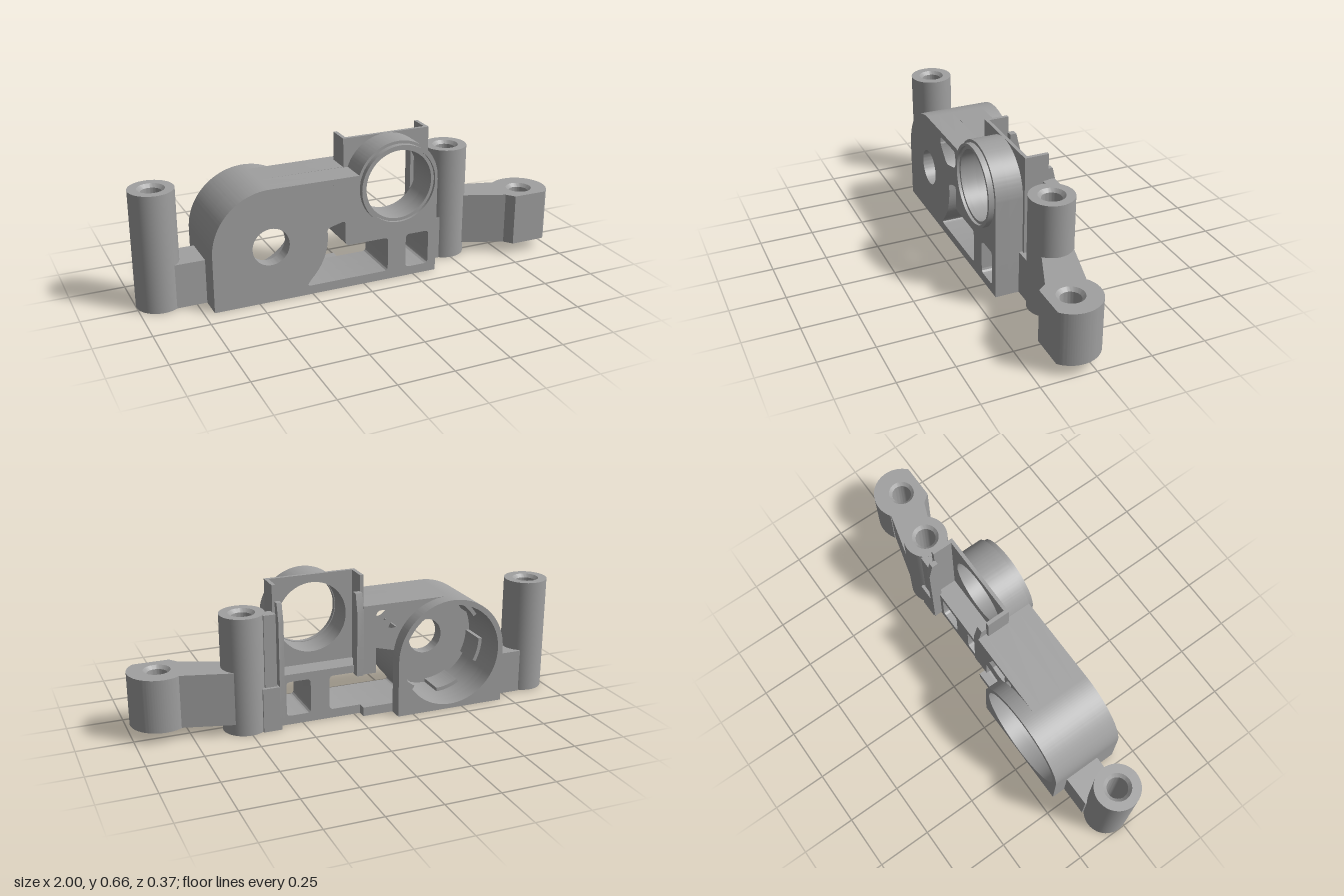
import * as THREE from 'three';
import { toCreasedNormals } from 'three/addons/utils/BufferGeometryUtils.js';

const BORE = [-0.44, 0.262], ARCH = 0.265; // large bore and its arched housing
const RING = [0.165, 0.46], COLLAR = 0.2;  // ring collar

export function createModel() {
  const model = new THREE.Group();
  model.name = 'mountingBracket';
  const grey = new THREE.MeshStandardMaterial({ color: 0xa0a0a0 });
  grey.name = 'metalGrey';

  const add = (name, geo) => {
    const mesh = new THREE.Mesh(toCreasedNormals(geo, 0.5), grey);
    mesh.name = name;
    model.add(mesh);
    return mesh;
  };
  const box = (name, x0, x1, y0, y1, z0, z1) =>
    add(name, new THREE.BoxGeometry(x1 - x0, y1 - y0, z1 - z0))
      .position.set((x0 + x1) / 2, (y0 + y1) / 2, (z0 + z1) / 2);
  const slab = (name, shape, z0, z1, holes = []) => {
    shape.holes = holes;
    const geo = new THREE.ExtrudeGeometry(shape, { depth: z1 - z0, bevelEnabled: false, curveSegments: 40 });
    return add(name, geo.translate(0, 0, z0));
  };
  const poly = (pts) => new THREE.Shape(pts.map((p) => new THREE.Vector2(...p)));
  const circle = ([x, y], r) => new THREE.Path().absarc(x, y, r, 0, Math.PI * 2, false);

  // Polygon with rounded corners, for the windows
  const rounded = (pts, r) => {
    const path = new THREE.Path();
    pts.forEach((p, i) => {
      const c = new THREE.Vector2(...p);
      const a = new THREE.Vector2(...pts[(i + pts.length - 1) % pts.length]);
      const b = new THREE.Vector2(...pts[(i + 1) % pts.length]);
      const toward = (q) => c.clone().lerp(q, Math.min(0.45, r / c.distanceTo(q)));
      const s = toward(a), e = toward(b);
      if (i) path.lineTo(s.x, s.y); else path.moveTo(s.x, s.y);
      path.quadraticCurveTo(c.x, c.y, e.x, e.y);
    });
    path.closePath();
    return path;
  };

  // Window outlines; the large window follows the bore housing
  const arc = [];
  for (let i = 0; i <= 8; i++) {
    const a = 0.15 - (0.98 * i) / 8;
    arc.push([BORE[0] + ARCH * Math.cos(a), BORE[1] + ARCH * Math.sin(a)]);
  }
  const largeTop = [[-0.09, 0.205], [-0.09, 0.325], ...arc, [-0.275, 0.042]];
  const windows = () => [
    rounded([[0.12, 0.042], [0.12, 0.205], ...largeTop], 0.02),
    rounded([[0.21, 0.042], [0.325, 0.042], [0.325, 0.205], [0.21, 0.205]], 0.02),
  ];
  const upperWindow = () => rounded(
    [[-0.275, 0.5], [-0.09, 0.5], [-0.09, 0.42], [-0.2, 0.39], [-0.275, 0.46]], 0.025);

  // Each outline starts with the arched left end
  const archStart = () => {
    const s = new THREE.Shape();
    s.moveTo(-0.705, 0);
    s.lineTo(-0.705, BORE[1]);
    s.absarc(...BORE, ARCH, Math.PI, Math.PI / 2, true);
    return s;
  };
  const finish = (s, pts) => {
    pts.forEach((p) => s.lineTo(...p));
    s.closePath();
    return s;
  };
  const fullOutline = () => {
    const s = archStart();
    s.absarc(...RING, COLLAR, 2.807, 0, true);
    return finish(s, [[0.365, 0]]);
  };

  // Body in layers from front to back
  slab('frontWall', fullOutline(), 0.1, 0.16,
    [circle(BORE, 0.085), circle(RING, 0.163), upperWindow(), ...windows()]);
  slab('frontBody', fullOutline(), 0.03, 0.1,
    [circle(BORE, 0.24), circle(RING, 0.163), upperWindow(), ...windows()]);
  slab('middleBody', finish(archStart(),
    [[-0.03, 0.527], [-0.03, 0.24], [0.365, 0.24], [0.365, 0]]), -0.08, 0.03,
    [circle(BORE, 0.24), upperWindow(), ...windows()]);
  slab('rearBody', finish(archStart(),
    [[-0.03, 0.527], [-0.03, 0.205], ...largeTop, [-0.03, 0.042], [-0.03, 0]]), -0.12, -0.08,
    [circle(BORE, 0.24), upperWindow()]);
  const rear = archStart();
  rear.absarc(...BORE, ARCH, Math.PI / 2, 0, true);
  slab('rearHousing', finish(rear, [[-0.175, 0]]), -0.185, -0.12, [circle(BORE, 0.24)]);

  // Raised pads inside the large bore
  for (let i = 0; i < 6; i++) {
    const a = (i * Math.PI) / 3, pad = new THREE.Shape();
    pad.absarc(...BORE, 0.243, a, a + 0.5, false);
    pad.absarc(...BORE, 0.222, a + 0.5, a, true);
    slab('borePad', pad, -0.03, 0.1);
  }

  // Stepped ring on the front of the collar
  const ringProfile = [[0.187, 0.15], [0.187, 0.185], [0.174, 0.185], [0.174, 0.172],
    [0.16, 0.172], [0.16, 0.15], [0.187, 0.15]];
  const ring = add('frontRing', new THREE.LatheGeometry(ringProfile.map((p) => new THREE.Vector2(...p)), 64));
  ring.rotation.x = Math.PI / 2;
  ring.position.set(...RING, 0);

  // Backing plate with side flanges and guide rails
  slab('backingPlate', poly([[-0.045, 0.2], [0.38, 0.2], [0.38, 0.66], [-0.045, 0.66]]), 0.018, 0.034,
    [circle(RING, 0.163)]);
  for (const [x0, x1, r0, r1, y0] of [[-0.045, -0.028, -0.03, 0.002, 0.2], [0.363, 0.38, 0.345, 0.368, 0.02]]) {
    box('sideFlange', x0, x1, 0.2, 0.66, -0.075, 0.025);
    const rail = poly([[0.07, y0], [0.12, y0], [0.12, 0.5], [0.1, 0.585], [0.07, 0.585]]);
    const mesh = slab('guideRail', rail, r0, r1);
    mesh.geometry.rotateY(Math.PI / 2); // profile depth now runs toward -z
  }

  // Bored posts with chamfered holes
  const tube = (name, x, z, r, y0, h) => {
    const c = 0.015, ri = 0.045;
    const profile = [[r, 0], [r, h], [ri + c, h], [ri, h - c], [ri, c], [ri + c, 0], [r, 0]];
    add(name, new THREE.LatheGeometry(profile.map((p) => new THREE.Vector2(...p)), 48)).position.set(x, y0, z);
  };
  tube('rightPost', -0.9, -0.03, 0.1, 0, 0.54);
  tube('leftPost', 0.505, -0.03, 0.1, 0, 0.54);
  box('rightConnector', -0.84, -0.7, 0, 0.205, -0.12, 0.05);
  box('leftConnector', 0.36, 0.445, 0, 0.205, -0.12, 0.05);
  box('postWeb', 0.375, 0.43, 0, 0.538, -0.105, -0.05);

  // Side arm with a bored lug, drawn in plan and stood up
  const arm = new THREE.Shape();
  arm.moveTo(0.57, 0.108);
  arm.lineTo(0.798, 0.047);
  arm.absarc(0.868, -0.06, 0.132, 2.14, -0.86, true);
  finish(arm, [[0.79, -0.16], [0.76, -0.12], [0.55, -0.035], [0.57, 0]]);
  slab('sideArm', arm, 0, 0.243, [circle([0.868, -0.06], 0.065)]).geometry
    .rotateX(-Math.PI / 2).translate(0, 0.053, 0);
  tube('lugSleeve', 0.868, 0.06, 0.066, 0.053, 0.243);

  return model;
}
